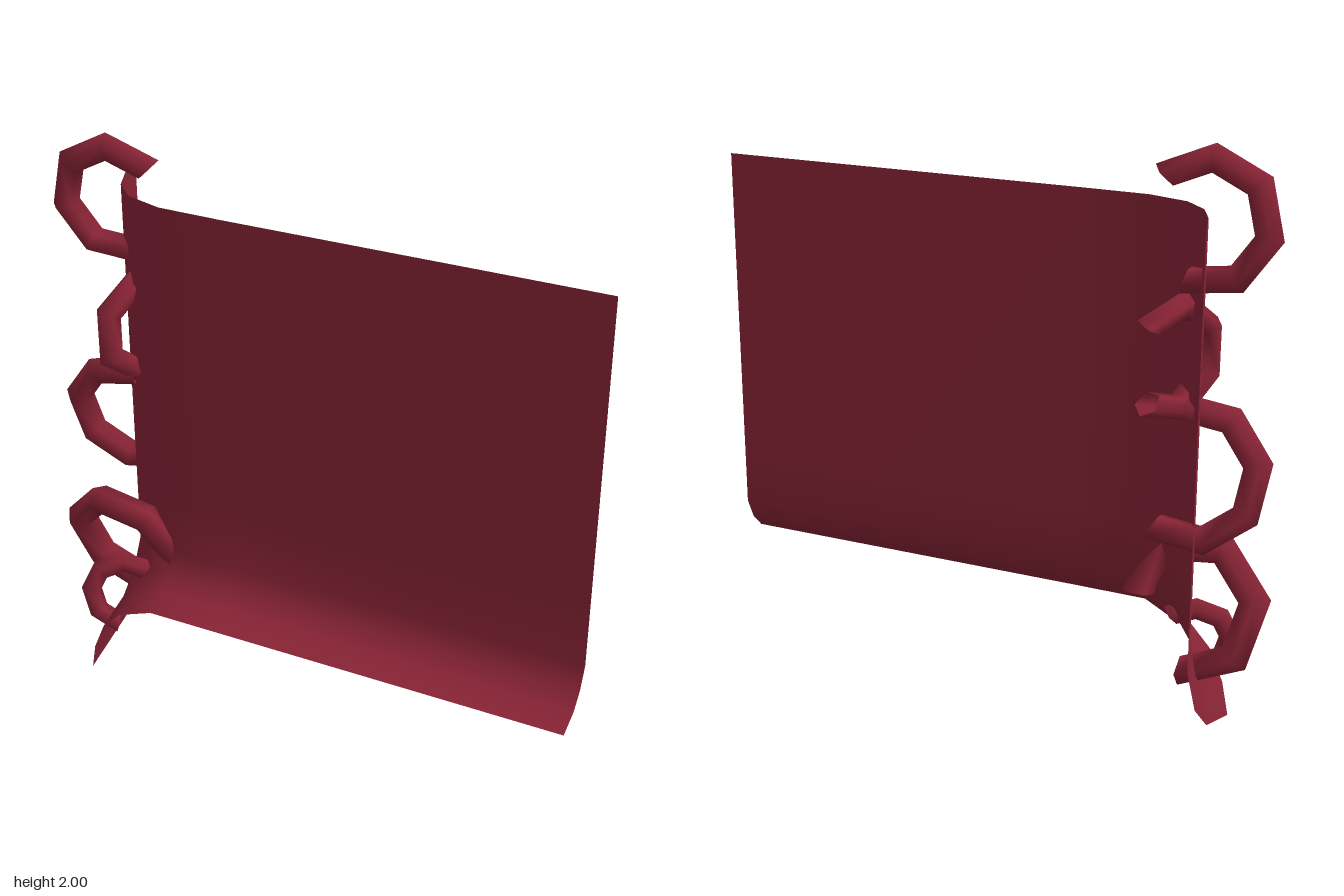
import * as THREE from 'three';

const material = new THREE.MeshStandardMaterial({ color: 0x8a2436, side: THREE.DoubleSide });

// Curved sheet: each column is [x, wall z, wall bottom y, rim z, rim y]
function makeSheet() {
  const columns = [
    [1, 0.09, 0.52, 0.26, 0.36],
    [-0.3, 0.09, 0.52, 0.26, 0.36],
    [-0.53, 0.085, 0.52, 0.26, 0.36],
    [-0.67, 0.04, 0.49, 0.245, 0.30],
    [-0.75, -0.04, 0.45, 0.235, 0.22],
    [-0.80, -0.15, 0.41, 0.225, 0.11],
    [-0.83, -0.26, 0.38, 0.205, 0.0],
  ];
  // Bottom flare: [share of the way to the rim in z, share of the height left]
  const flare = [[0, 1], [0.2, 0.53], [0.49, 0.21], [1, 0]];
  const positions = [], index = [];
  const rows = 2 + flare.length;
  for (const [x, z, y, rimZ, rimY] of columns) {
    positions.push(x, 1.81, z, x, y + 0.2, z);
    for (const [f, h] of flare) positions.push(x, rimY + (y - rimY) * h, z + (rimZ - z) * f);
  }
  for (let c = 0; c < columns.length - 1; c++) {
    for (let r = 0; r < rows - 1; r++) {
      const a = c * rows + r, b = a + rows;
      index.push(a, b, a + 1, b, b + 1, a + 1);
    }
  }
  const geometry = new THREE.BufferGeometry();
  geometry.setAttribute('position', new THREE.Float32BufferAttribute(positions, 3));
  geometry.setIndex(index);
  geometry.computeVertexNormals();
  const mesh = new THREE.Mesh(geometry, material);
  mesh.name = 'curvedSheet';
  return mesh;
}

// Open ring with a five-sided tube, its gap beginning below the start angle
function makeLink({ at, radius, tube, start, arc, turn }) {
  const rad = THREE.MathUtils.degToRad;
  const geometry = new THREE.TorusGeometry(radius, tube, 5, 5, rad(arc));
  geometry.rotateZ(rad(start));
  const mesh = new THREE.Mesh(geometry, material);
  mesh.position.set(...at);
  mesh.rotation.set(...turn);
  return mesh;
}

export function createModel() {
  const model = new THREE.Group();
  model.name = 'sheetWithRings';
  model.add(makeSheet());

  // Rings threaded through the curved edge, top to bottom
  const links = [
    { at: [-0.755, 1.765, -0.01], radius: 0.19, tube: 0.048, start: 43, arc: 245, turn: [0.1, 0.1, 0] },
    { at: [-0.67, 1.33, -0.03], radius: 0.17, tube: 0.046, start: 35, arc: 265, turn: [0, 1.15, 0.22] },
    { at: [-0.745, 0.96, -0.04], radius: 0.21, tube: 0.05, start: 75, arc: 225, turn: [0.25, 0.12, 0] },
    { at: [-0.75, 0.47, 0.03], radius: 0.21, tube: 0.055, start: 2, arc: 272, turn: [0.35, -0.08, 0] },
    { at: [-0.72, 0.305, 0.12], radius: 0.125, tube: 0.038, start: 55, arc: 205, turn: [-0.15, 0.4, 0] },
  ];
  links.forEach((spec, i) => {
    const link = makeLink(spec);
    link.name = `openRing${i + 1}`;
    model.add(link);
  });
  return model;
}
